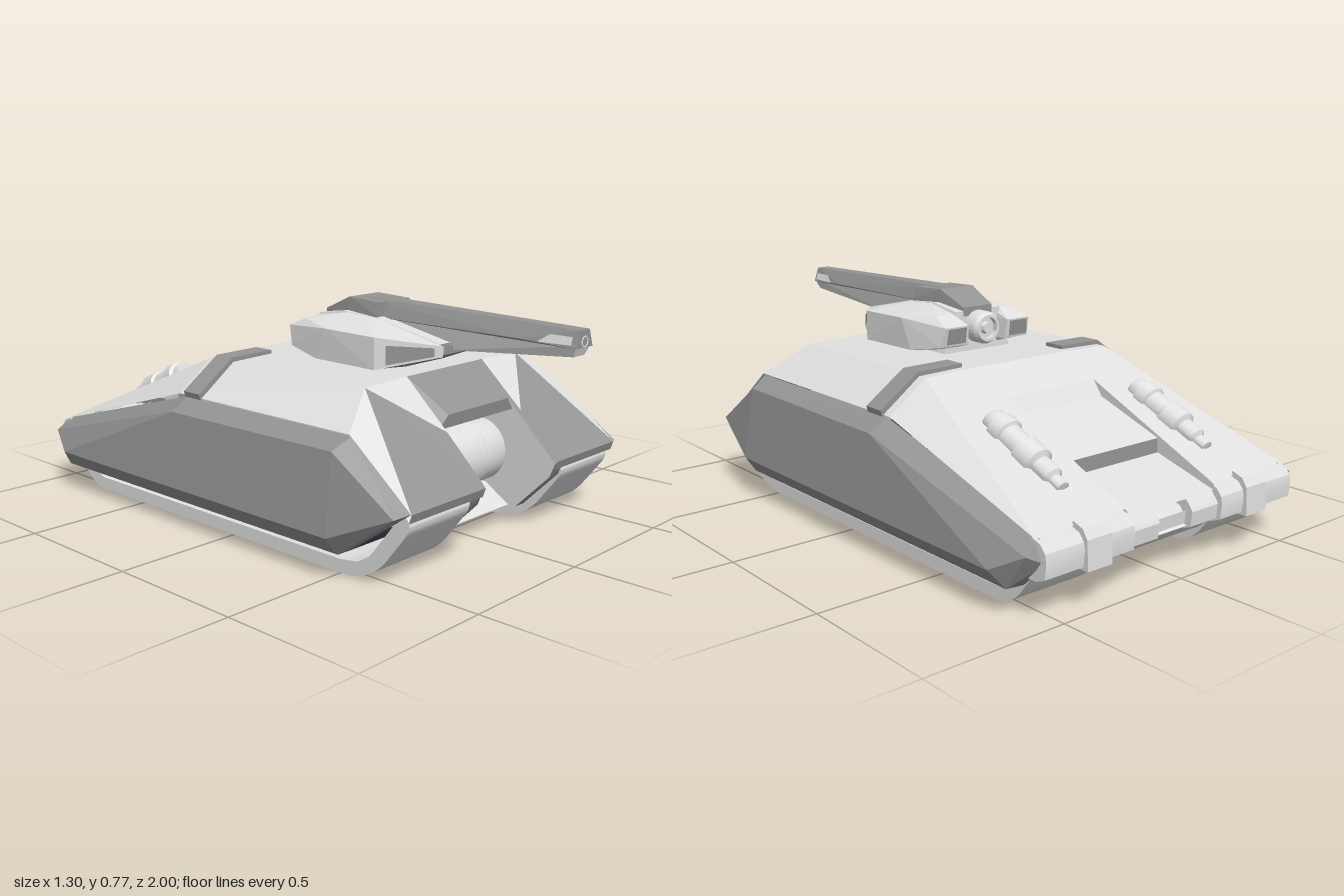
import * as THREE from 'three';
import { toCreasedNormals } from 'three/addons/utils/BufferGeometryUtils.js';
import { ConvexGeometry } from 'three/addons/geometries/ConvexGeometry.js';

const paint = (name, color) => {
  const m = new THREE.MeshStandardMaterial({ color, side: THREE.DoubleSide });
  m.name = name;
  return m;
};

export function createModel() {
  const light = paint('light grey armour', 0xe0e0e0);
  const dark = paint('dark grey armour', 0x949494);
  const rubber = paint('blue black wheel', 0x454b57);
  const root = new THREE.Group();

  const add = (name, geometry, material) => {
    const mesh = new THREE.Mesh(geometry, material);
    mesh.name = name;
    root.add(mesh);
    return mesh;
  };
  const flip = (pts, s) => pts.map(([x, y, z]) => [x * s, y, z]);
  const hull = pts => new ConvexGeometry(pts.map(p => new THREE.Vector3(...p)));
  // one solid across the middle, from its left half
  const centred = (name, pts, mat) => add(name, hull([...pts, ...flip(pts, -1)]), mat);
  // a left and a right solid
  const paired = (name, pts, mat) => {
    add('left' + name, hull(pts), mat);
    add('right' + name, hull(flip(pts, -1)), mat);
  };
  // flat polygons on both sides
  const panels = (name, polys, mat) => {
    const pos = [];
    for (const s of [1, -1]) for (const poly of polys) {
      const p = flip(poly, s);
      for (let i = 1; i < p.length - 1; i++) {
        const [b, c] = s > 0 ? [p[i], p[i + 1]] : [p[i + 1], p[i]];
        pos.push(...p[0], ...b, ...c);
      }
    }
    const g = new THREE.BufferGeometry();
    g.setAttribute('position', new THREE.Float32BufferAttribute(pos, 3));
    g.computeVertexNormals();
    return add(name, g, mat);
  };
  // side outline in (z, y), extruded from x0 to x1
  const slab = (name, shape, x0, x1, mat) => {
    const s = Array.isArray(shape) ? new THREE.Shape(shape.map(p => new THREE.Vector2(...p))) : shape;
    const g = new THREE.ExtrudeGeometry(s, { depth: x1 - x0, bevelEnabled: false, curveSegments: 10 });
    g.rotateY(-Math.PI / 2).translate(x1, 0, 0);
    return add(name, toCreasedNormals(g, 0.5), mat);
  };
  const slabPair = (name, shape, x0, x1, mat) => {
    slab('left' + name, shape, x0, x1, mat);
    slab('right' + name, shape, -x1, -x0, mat);
  };
  const lathe = (pts, n = 24) =>
    toCreasedNormals(new THREE.LatheGeometry(pts.map(p => new THREE.Vector2(...p)), n), 0.6);

  // roof and fenders
  const deckY = z => 0.565 + (z + 0.25) * 0.449;
  const P = [0.4, 0.56, 0.47], T = [0.2, 0.565, 0.47], C = [0.555, 0.455, 0.55];
  const N = [0.555, 0.26, 0.795], M = [0.2, 0.26, 0.795], I = [0.2, 0.41, 0.64];
  const R = [0.41, 0.56, -0.25], RC = [0.555, 0.455, -0.25];
  const R2 = [0.2, 0.565, -0.25], E2 = [0.2, deckY(-0.94), -0.94];
  const E = [0.41, deckY(-0.94), -0.94], EC = [0.56, 0.25, -0.94];
  panels('roofShell', [
    [[0, 0.565, 0.47], T, R2, [0, 0.565, -0.25]],
    [T, P, R, R2], [P, C, RC, R], [P, N, C], [T, I, P],
    [R2, R, E, E2], [R, RC, EC, E],
  ], light);
  panels('fenderFront', [[P, I, M, N], [M, [0.2, 0.23, 0.785], [0.555, 0.23, 0.785], N]], dark);

  // stepped middle of the rear deck, with a dark riser
  const steps = [[-0.25, 0], [-0.41, 0], [-0.45, 0.035], [-0.71, 0.01], [-0.712, 0.058], [-0.95, 0.02]];
  for (let i = 0; i < steps.length - 1; i++) {
    const [[z0, d0], [z1, d1]] = [steps[i], steps[i + 1]];
    const y0 = deckY(z0), y1 = deckY(z1);
    panels('rearDeckPanel', [
      [[0, y0 - d0, z0], [0.2, y0 - d0, z0], [0.2, y1 - d1, z1], [0, y1 - d1, z1]],
    ], i === 3 ? dark : light);
    panels('rearDeckWall', [
      [[0.2, y0, z0], [0.2, y1, z1], [0.2, y1 - d1, z1], [0.2, y0 - d0, z0]],
    ], light);
  }

  // rounded rear lip, set back in the middle
  const lip = d => [[-0.84, 0.18], [-0.93 + d, 0.256 - d], [-0.965 + d, 0.244 - d], [-0.985 + d, 0.22 - d],
    [-0.99 + d, 0.19], [-0.985 + d, 0.14], [-0.95 + d, 0.125], [-0.86, 0.125]];
  slabPair('RearLip', lip(0.004), 0.2, 0.56, light);
  slabPair('RearLipInner', lip(0.02), 0.075, 0.2, light);
  slab('rearNotch', lip(0.045), -0.075, 0.075, light);
  slabPair('RearClip', [[-0.93, 0.24], [-0.935, 0.268], [-0.975, 0.254], [-0.995, 0.225], [-1, 0.13], [-0.96, 0.13]],
    0.31, 0.41, light);

  // side skirts
  const skirt = [];
  for (const [z, y] of [[0.79, 0.26], [0.55, 0.448], [-0.22, 0.448], [-0.94, 0.25], [-0.97, 0.18], [-0.88, 0.09], [0.55, 0.09]])
    skirt.push([0.545, y, z]);
  skirt.push([0.605, 0.25, 0.77], [0.613, 0.41, 0.53], [0.615, 0.405, -0.22], [0.605, 0.21, -0.95],
    [0.65, 0.15, -0.84], [0.65, 0.15, 0.54], [0.605, 0.09, 0.55], [0.605, 0.09, -0.87]);
  paired('Skirt', skirt, dark);

  // lower hull, inner fender walls and front ramp
  slab('belly', [[-0.95, 0.14], [-0.85, 0.065], [0.46, 0.065], [0.46, 0.38], [-0.5, 0.38], [-0.85, 0.2]], -0.25, 0.25, light);
  slab('frontRamp', [[0.4, 0.066], [0.6, 0.066], [0.5, 0.13], [0.4, 0.13]], -0.25, 0.25, light);
  slabPair('InnerFender', [[0.4, 0.55], [0.465, 0.55], [0.63, 0.4], [0.785, 0.25], [0.765, 0.2], [0.63, 0.065], [0.4, 0.065]],
    0.2, 0.25, [light, dark]);

  // sloped glacis and drum between the fenders
  centred('glacis', [[0.2, 0.565, 0.468], [0.16, 0.455, 0.612], [0.2, 0.41, 0.605], [0.2, 0.39, 0.46]], dark);
  const drum = add('frontDrum', lathe([[0, -0.2], [0.108, -0.2], [0.112, -0.19], [0.112, -0.095], [0.1, -0.09], [0.1, -0.085],
    [0.122, -0.08], [0.122, 0.08], [0.1, 0.085], [0.1, 0.09], [0.112, 0.095], [0.112, 0.19], [0.108, 0.2], [0, 0.2]], 40), light);
  drum.rotation.z = Math.PI / 2;
  drum.position.set(0, 0.25, 0.475);

  // tracks with an open run for the wheels
  const track = new THREE.Shape();
  track.moveTo(-0.75, 0);
  track.lineTo(0.5, 0);
  track.quadraticCurveTo(0.62, 0, 0.69, 0.09);
  track.lineTo(0.76, 0.18);
  track.quadraticCurveTo(0.79, 0.22, 0.76, 0.24);
  track.lineTo(-0.94, 0.24);
  track.quadraticCurveTo(-0.98, 0.21, -0.93, 0.15);
  track.lineTo(-0.87, 0.07);
  track.quadraticCurveTo(-0.82, 0, -0.75, 0);
  track.holes.push(new THREE.Path([[-0.75, 0.045], [-0.81, 0.065], [-0.9, 0.2], [0.71, 0.2], [0.62, 0.085], [0.57, 0.055], [0.5, 0.045]]
    .map(p => new THREE.Vector2(...p))));
  slabPair('Track', track, 0.255, 0.54, light);
  for (const s of [1, -1]) for (const z of [0.45, 0.1, -0.27, -0.63]) {
    const wheel = add('roadWheel', new THREE.CylinderGeometry(0.135, 0.135, 0.24, 28), rubber);
    wheel.rotation.z = Math.PI / 2;
    wheel.position.set(s * 0.4, 0.188, z);
  }

  // brackets bent over the roof edge
  const bracket = [];
  for (const z of [-0.135, -0.215])
    for (const [x, y] of [[0.23, 0.54], [0.23, 0.577], [0.415, 0.575], [0.565, 0.47], [0.56, 0.45]]) bracket.push([x, y, z]);
  paired('RoofBracket', bracket, dark);

  // stepped canisters along the rear deck
  const can = lathe([[0, 0], [0.038, 0], [0.043, 0.01], [0.043, 0.035], [0.055, 0.042], [0.055, 0.085], [0.045, 0.092],
    [0.045, 0.16], [0.055, 0.167], [0.055, 0.235], [0.038, 0.245], [0.038, 0.305], [0.024, 0.315], [0.024, 0.355], [0, 0.36]]);
  for (const s of [1, -1]) {
    const canister = add('canister', can, light);
    canister.position.set(s * 0.33, 0.458, -0.485);
    canister.rotation.x = Math.atan2(-0.912, -0.41);
  }

  // turret: core, side pods and dark chin
  centred('turretCore', [[0.15, 0.56, -0.02], [0.1, 0.71, -0.02], [0.1, 0.728, 0.1], [0.1, 0.718, 0.25],
    [0.085, 0.66, 0.515], [0.085, 0.635, 0.5], [0.15, 0.56, 0.33]], light);
  paired('TurretPod', [
    [0.085, 0.6, -0.07], [0.09, 0.67, -0.08], [0.2, 0.6, -0.06], [0.19, 0.67, -0.08], [0.11, 0.705, -0.01], [0.18, 0.7, -0.01],
    [0.225, 0.575, 0.08], [0.23, 0.685, 0.13], [0.1, 0.565, 0.05], [0.225, 0.572, 0.35], [0.225, 0.68, 0.35],
    [0.1, 0.725, 0.12], [0.1, 0.717, 0.25], [0.09, 0.655, 0.53], [0.09, 0.62, 0.53], [0.09, 0.575, 0.36]], light);
  panels('podSidePanel', [[[0.207, 0.655, 0.385], [0.207, 0.59, 0.385], [0.112, 0.622, 0.512], [0.112, 0.65, 0.512]]], dark);
  panels('podRearPanel', [[[0.1, 0.61, -0.076], [0.185, 0.61, -0.076], [0.18, 0.665, -0.083], [0.1, 0.665, -0.083]]], dark);
  centred('turretChin', [[0.17, 0.568, 0.34], [0.1, 0.615, 0.45], [0.07, 0.653, 0.525], [0.08, 0.625, 0.525], [0.1, 0.57, 0.38]], dark);

  // gun: breech cover, dark upper barrel, light lower barrel
  centred('gunBreech', [[0.065, 0.69, -0.02], [0.065, 0.722, -0.02], [0.075, 0.775, 0.1], [0.085, 0.69, 0.1],
    [0.08, 0.768, 0.24], [0.092, 0.725, 0.24], [0.09, 0.69, 0.24]], dark);
  centred('upperBarrel', [[0.06, 0.715, 0.12], [0.035, 0.775, 0.12], [0.044, 0.7, 0.998], [0.025, 0.755, 0.998], [0.055, 0.71, 0.8]], dark);
  centred('lowerBarrel', [[0.05, 0.72, 0.25], [0.043, 0.71, 0.995], [0.03, 0.672, 0.98], [0.03, 0.632, 0.5], [0.03, 0.64, 0.25]], light);
  panels('muzzleSlot', [[[0.051, 0.708, 0.86], [0.047, 0.71, 0.98], [0.039, 0.735, 0.98], [0.042, 0.735, 0.9]]], light);
  const bore = add('muzzleRing', new THREE.TorusGeometry(0.016, 0.004, 6, 20), light);
  bore.position.set(0, 0.718, 0.996);

  // round port at the back of the turret
  const port = add('rearPort', lathe([[0, 0], [0.058, 0], [0.058, 0.05], [0.048, 0.065], [0.038, 0.065], [0.038, 0.045],
    [0.022, 0.045], [0.018, 0.06], [0, 0.06]]), light);
  port.rotation.x = -Math.PI / 2;
  port.position.set(0, 0.65, -0.018);

  return root;
}
